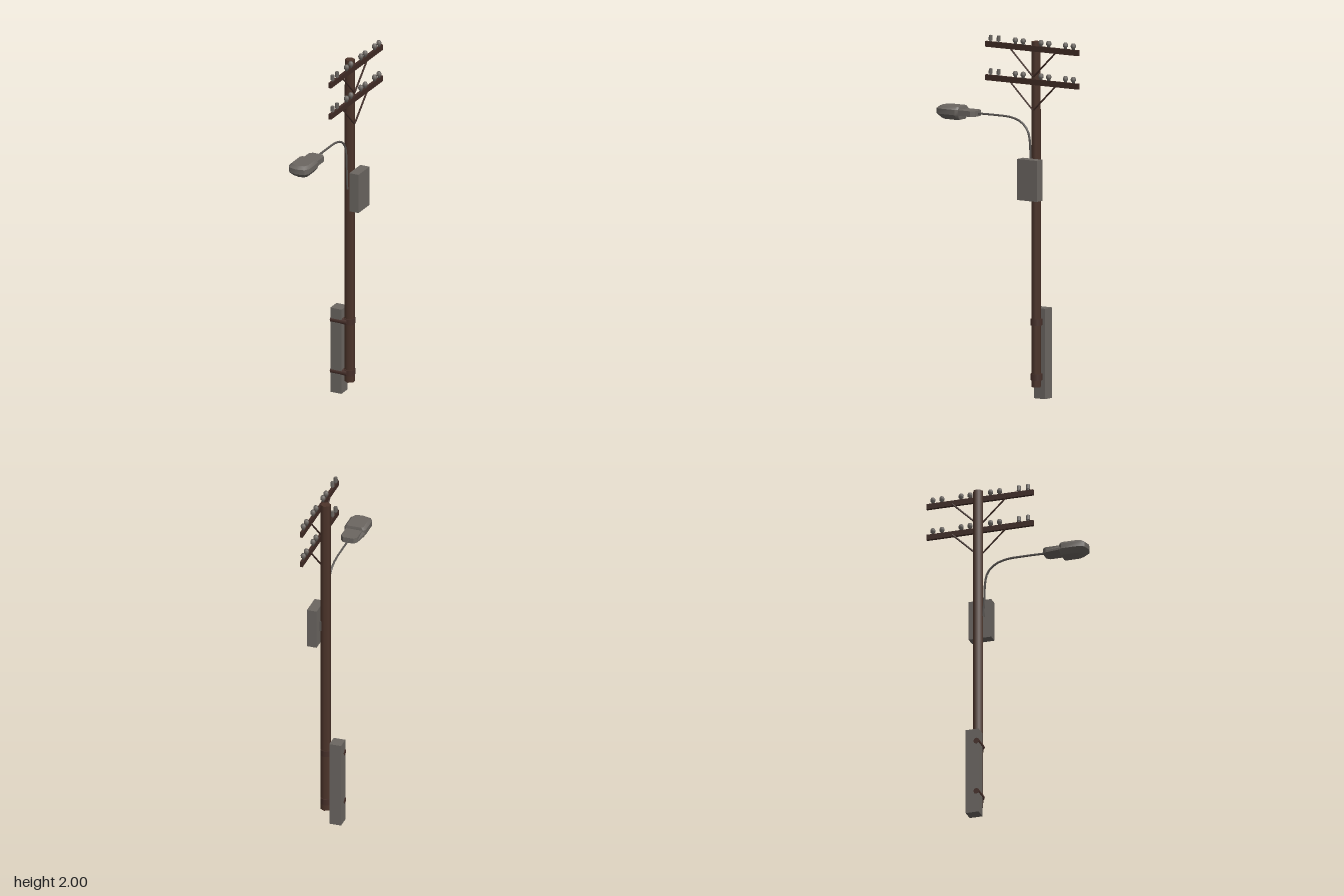
import * as THREE from 'three';
import { toCreasedNormals } from 'three/addons/utils/BufferGeometryUtils.js';

const PX = 0.005, PZ = -0.168; // pole axis

export function createModel() {
  const root = new THREE.Group();
  root.name = 'utilityPole';
  const mat = (name, color) => {
    const m = new THREE.MeshStandardMaterial({ color });
    m.name = name;
    return m;
  };
  const wood = mat('brownWood', 0x4d352b);
  const darkWood = mat('darkWood', 0x402b25);
  const rust = mat('rustyClamp', 0x47302a);
  const grey = mat('warmGrey', 0x6b6661);
  const steel = mat('steel', 0x5c5855);

  const add = (name, geo, material, x = 0, y = 0, z = 0) => {
    const m = new THREE.Mesh(geo, material);
    m.name = name;
    m.position.set(x, y, z);
    root.add(m);
    return m;
  };
  const box = (name, material, x0, x1, y0, y1, z0, z1) =>
    add(name, new THREE.BoxGeometry(x1 - x0, y1 - y0, z1 - z0), material,
      (x0 + x1) / 2, (y0 + y1) / 2, (z0 + z1) / 2);
  // Straight rod between two points
  const rod = (name, material, a, b, r, sides = 6) => {
    const p = new THREE.Vector3(...a), q = new THREE.Vector3(...b);
    const d = q.clone().sub(p);
    const m = add(name, new THREE.CylinderGeometry(r, r, d.length(), sides), material);
    m.position.copy(p).add(q).multiplyScalar(0.5);
    m.quaternion.setFromUnitVectors(new THREE.Vector3(0, 1, 0), d.normalize());
    return m;
  };
  // Closed solid from stacked horizontal loops of [x, y, z]
  const loft = (rings) => {
    const pos = [];
    const n = rings[0].length;
    const tri = (...pts) => pts.forEach((p) => pos.push(...p));
    const middle = (ring) => [0, 1, 2].map((k) => ring.reduce((s, p) => s + p[k], 0) / n);
    const bottom = rings[0], top = rings[rings.length - 1];
    const cb = middle(bottom), ct = middle(top);
    for (let i = 0; i < n; i++) {
      const j = (i + 1) % n;
      for (let r = 0; r < rings.length - 1; r++) {
        const lo = rings[r], hi = rings[r + 1];
        tri(lo[i], hi[i], lo[j]);
        tri(lo[j], hi[i], hi[j]);
      }
      tri(cb, bottom[i], bottom[j]);
      tri(ct, top[j], top[i]);
    }
    const g = new THREE.BufferGeometry();
    g.setAttribute('position', new THREE.Float32BufferAttribute(pos, 3));
    g.computeVertexNormals();
    return g;
  };

  // Hexagonal pole
  add('pole', new THREE.CylinderGeometry(0.028, 0.029, 1.91, 6), wood, PX, 1.025, PZ);

  // Footing post with two clamps
  box('footingPost', grey, -0.096, -0.028, 0, 0.5, -0.205, -0.131);
  for (const y of [0.125, 0.428]) {
    add('clampRing', new THREE.CylinderGeometry(0.034, 0.034, 0.035, 8), rust, PX - 0.003, y, PZ);
    rod('clampBar', rust, [-0.098, y, -0.144], [0.002, y, -0.144], 0.017, 8);
  }

  // Equipment box
  box('equipmentBox', grey, 0.036, 0.092, 1.108, 1.335, -0.232, -0.102);
  box('boxBracket', steel, 0.02, 0.04, 1.19, 1.25, -0.185, -0.15);

  // Crossarms with braces and insulators
  const bell = new THREE.LatheGeometry([
    [0, 0], [0.008, 0], [0.009, 0.01], [0.014, 0.014], [0.015, 0.024], [0.01, 0.035], [0, 0.037],
  ].map(([x, y]) => new THREE.Vector2(x, y)), 8);
  const spool = new THREE.CylinderGeometry(0.011, 0.012, 0.028, 6);
  for (const y of [1.93, 1.745]) {
    box('crossarm', darkWood, 0.034, 0.05, y, y + 0.031, -0.475, 0.14);
    for (const s of [-1, 1]) {
      rod('armBrace', darkWood, [0.036, y + 0.01, PZ + s * 0.158], [0.034, y - 0.14, PZ + s * 0.004], 0.005);
    }
    for (const z of [-0.44, -0.388, -0.277, -0.226, -0.108, -0.056]) {
      add('insulator', bell, grey, 0.042, y + 0.03, z);
    }
    for (const z of [0.055, 0.108]) {
      add('insulatorPin', new THREE.CylinderGeometry(0.006, 0.006, 0.02, 6), steel, 0.042, y + 0.035, z);
      add('endInsulator', spool, grey, 0.042, y + 0.052, z);
    }
  }

  // Curved lamp arm
  const path = new THREE.CatmullRomCurve3([
    [1.22, -0.138], [1.34, -0.131], [1.42, -0.127], [1.48, -0.113], [1.525, -0.07],
    [1.547, 0], [1.55, 0.08], [1.549, 0.225],
  ].map(([y, z]) => new THREE.Vector3(0.005, y, z)));
  add('lampArm', new THREE.TubeGeometry(path, 20, 0.006, 6), steel);

  // Lamp neck, flared low on one side
  const neck = [[0.047, 0.235], [0.047, 0.33], [-0.047, 0.33], [-0.047, 0.235], [-0.03, 0.215], [0.03, 0.215]];
  const neckRing = (y, flare) => neck.map(([x, z], i) => [x + 0.007 - (i === 2 ? flare : 0), y, z]);
  add('lampNeck', loft([neckRing(1.533, 0.014), neckRing(1.545, 0.014), neckRing(1.564, 0)]), grey);

  // Lamp head: bowl below, bevelled lid above
  const head = [[0.05, 0.315], [0.062, 0.33], [0.062, 0.435], [0.046, 0.46], [0, 0.471],
    [-0.046, 0.46], [-0.062, 0.435], [-0.062, 0.33], [-0.05, 0.315]];
  const headRing = ([y, s]) => head.map(([x, z]) => [x * s + 0.005, y, 0.335 + (z - 0.335) * (0.3 + 0.7 * s)]);
  add('lampHead', toCreasedNormals(loft(
    [[1.507, 0.62], [1.515, 0.75], [1.536, 1], [1.565, 1], [1.58, 0.78]].map(headRing)), 0.6), grey);

  return root;
}
